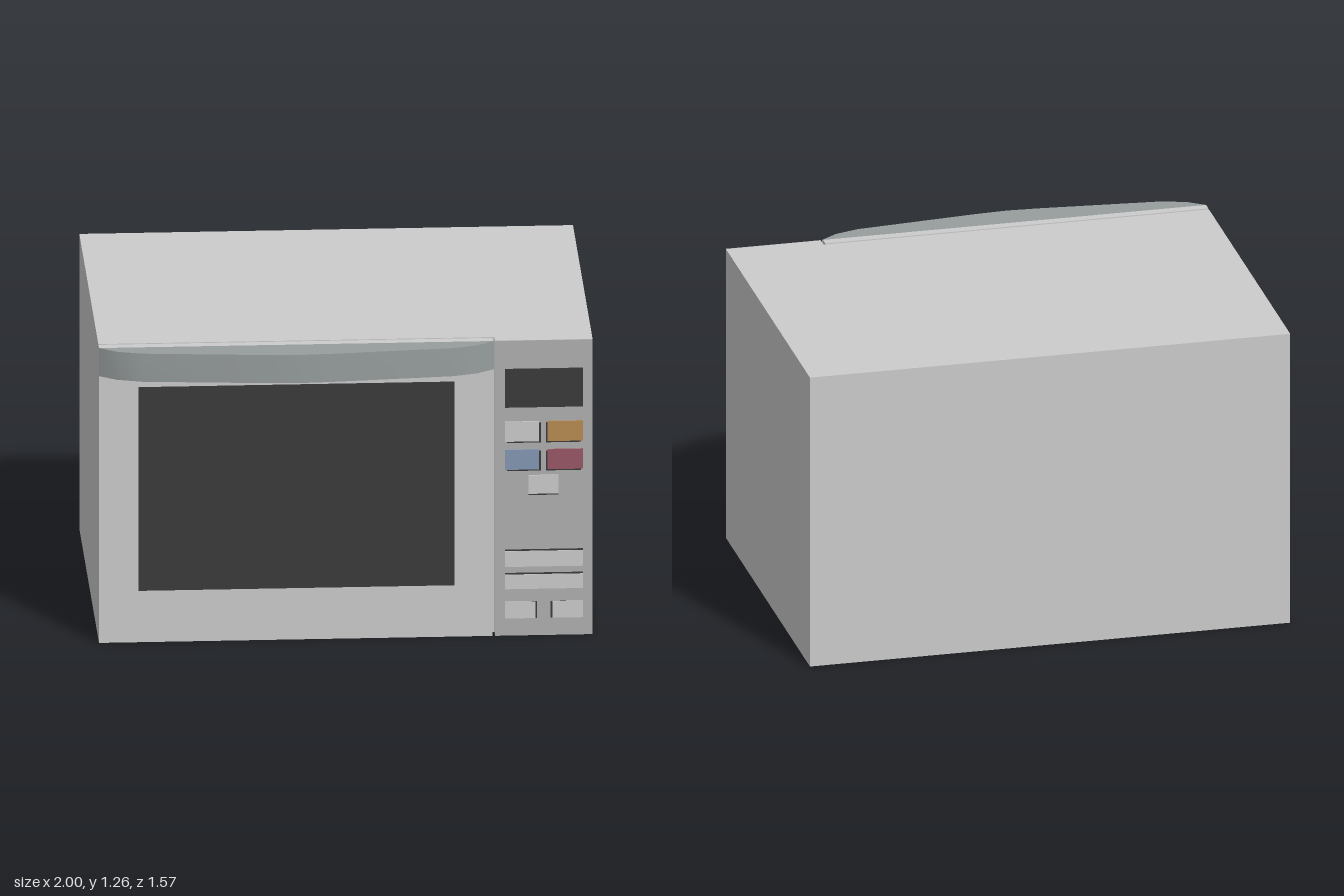
import * as THREE from 'three';
import { toCreasedNormals } from 'three/addons/utils/BufferGeometryUtils.js';

const H = 1.26;
const FRONT = 0.65;

const material = (color) => new THREE.MeshStandardMaterial({ color });
const GREY = material(0xcccccc);
const PANEL = material(0xb0b0b0);
const DARK = material(0x3a3a3a);
const TRIM = material(0x979d9d);
const ORANGE = material(0xb88d52);
const BLUE = material(0x8499b3);
const RED = material(0x9a5767);

// Box given by its limits on each axis
function box(name, [x0, x1], [y0, y1], [z0, z1], mat) {
  const mesh = new THREE.Mesh(new THREE.BoxGeometry(x1 - x0, y1 - y0, z1 - z0), mat);
  mesh.position.set((x0 + x1) / 2, (y0 + y1) / 2, (z0 + z1) / 2);
  mesh.name = name;
  return mesh;
}

// Upright prism from an outline of [x, z] points
function prism(name, outline, y0, y1, mat, crease) {
  const shape = new THREE.Shape(outline.map(([x, z]) => new THREE.Vector2(x, -z)));
  let geometry = new THREE.ExtrudeGeometry(shape, { depth: y1 - y0, bevelEnabled: false });
  geometry.rotateX(-Math.PI / 2);
  if (crease) geometry = toCreasedNormals(geometry, crease);
  const mesh = new THREE.Mesh(geometry, mat);
  mesh.position.y = y0;
  mesh.name = name;
  return mesh;
}

export function createModel() {
  const oven = new THREE.Group();
  oven.name = 'microwaveOven';

  // Cabinet, stepped forward beside the door
  oven.add(prism('cabinet', [
    [-1, -0.785], [1, -0.785], [1, FRONT - 0.003], [0.605, FRONT - 0.003], [0.605, 0.6], [-1, 0.6],
  ], 0, H, GREY));
  oven.add(box('controlPanel', [0.605, 1], [0, H], [FRONT - 0.003, FRONT], PANEL));

  // Door, set off from the cabinet by a narrow dark groove
  oven.add(box('doorSeal', [-0.98, 0.58], [0.02, H - 0.02], [0.6, 0.61], DARK));
  oven.add(box('door', [-1, 0.595], [0, H], [0.61, FRONT], GREY));
  oven.add(box('window', [-0.84, 0.44], [0.22, 1.09], [FRONT - 0.01, FRONT + 0.002], DARK));

  // Bowed handle across the top of the door
  const half = [[0.8, FRONT], [0.73, 0.7], [0.63, 0.73], [0.13, 0.775]];
  const bow = [
    ...half.map(([x, z]) => [-0.2 - x, z]),
    [-0.2, 0.782],
    ...half.map(([x, z]) => [x - 0.2, z]).reverse(),
  ];
  oven.add(prism('handle', bow, 1.14, H, TRIM, 0.45));

  // Display and keys
  oven.add(box('display', [0.645, 0.96], [0.975, 1.14], [FRONT - 0.01, FRONT + 0.004], DARK));
  const keys = [
    ['startKey', 0.645, 0.783, 0.83, 0.915, GREY],
    ['orangeKey', 0.817, 0.96, 0.83, 0.915, ORANGE],
    ['blueKey', 0.645, 0.783, 0.71, 0.795, BLUE],
    ['redKey', 0.817, 0.96, 0.71, 0.795, RED],
    ['centreKey', 0.74, 0.862, 0.606, 0.685, GREY],
    ['upperBarKey', 0.645, 0.96, 0.295, 0.362, GREY],
    ['lowerBarKey', 0.645, 0.96, 0.2, 0.262, GREY],
    ['leftKey', 0.645, 0.768, 0.075, 0.145, GREY],
    ['rightKey', 0.837, 0.96, 0.075, 0.145, GREY],
  ];
  for (const [name, x0, x1, y0, y1, mat] of keys) {
    const key = new THREE.Group();
    key.name = name;
    // The dark rim of each key shows towards the middle of the panel
    const dx = 0.007 * Math.sign(Math.round((0.8025 - (x0 + x1) / 2) * 50));
    const dy = y0 > 0.5 ? -0.006 : y0 > 0.15 ? 0.006 : 0;
    key.add(box(name + 'Cap', [x0, x1], [y0, y1], [FRONT - 0.01, FRONT + 0.006], mat));
    key.add(box(name + 'Rim', [x0 + dx, x1 + dx], [y0 + dy, y1 + dy], [FRONT - 0.01, FRONT + 0.003], DARK));
    oven.add(key);
  }
  return oven;
}
